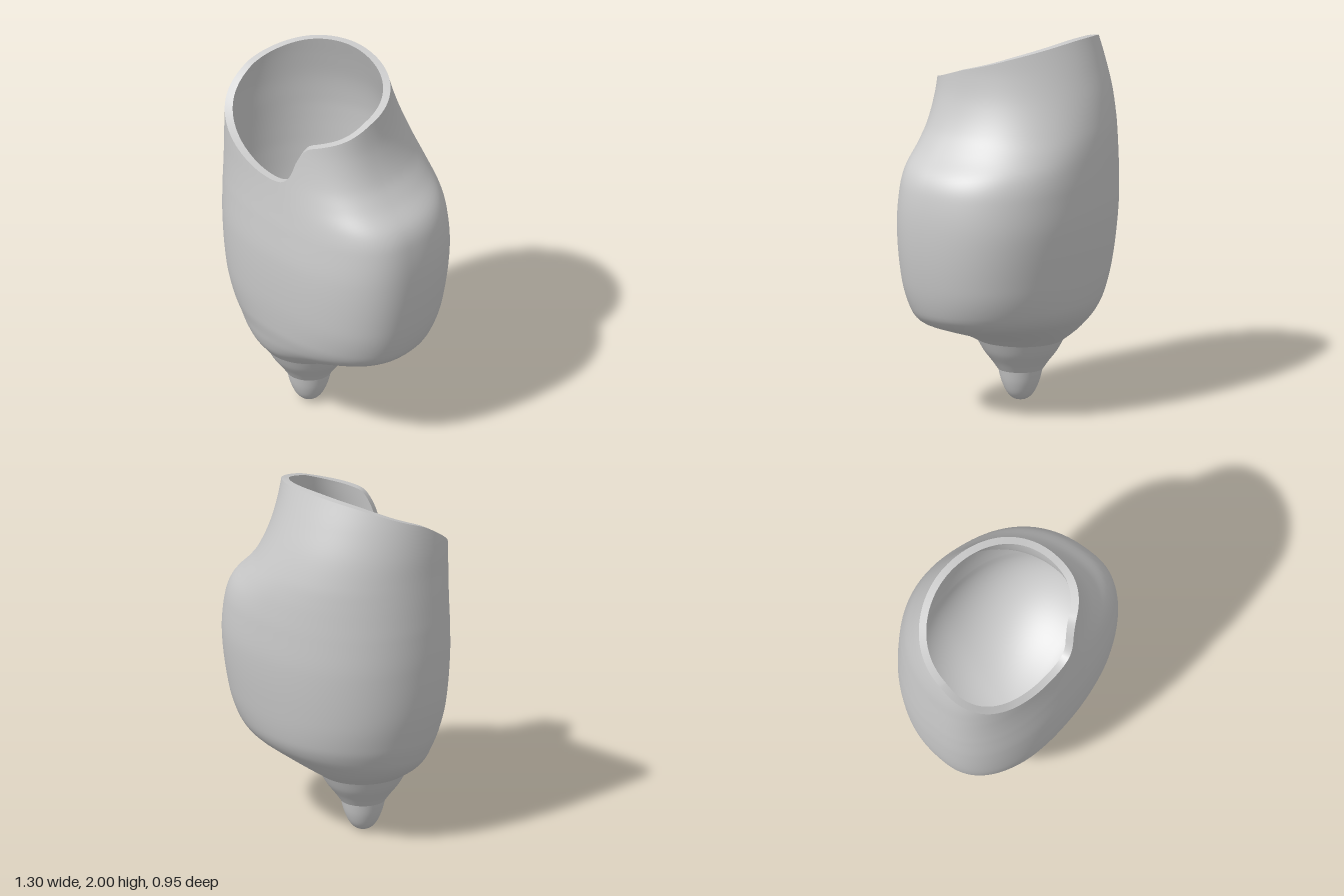
import * as THREE from 'three';

const SEG = 144;
const CZ = 0.09;

// Body sections: y, left side x, right side x, back z, front z, centre x
const SECTIONS = [
  [0.34, -0.38, 0.08, -0.15, 0.32, -0.15],
  [0.40, -0.465, 0.20, -0.23, 0.37, -0.12],
  [0.46, -0.52, 0.37, -0.30, 0.40, -0.07],
  [0.52, -0.55, 0.515, -0.36, 0.42, -0.02],
  [0.60, -0.58, 0.575, -0.40, 0.44, 0],
  [0.80, -0.625, 0.625, -0.44, 0.465, 0.01],
  [1.05, -0.648, 0.647, -0.47, 0.475, 0.01],
  [1.25, -0.652, 0.632, -0.473, 0.462, -0.01],
  [1.35, -0.65, 0.592, -0.469, 0.452, -0.03],
  [1.45, -0.647, 0.492, -0.46, 0.443, -0.06],
  [1.55, -0.643, 0.415, -0.442, 0.436, -0.10],
  [1.70, -0.637, 0.355, -0.40, 0.427, -0.14],
  [1.85, -0.62, 0.33, -0.345, 0.415, -0.15],
  [2.00, -0.59, 0.325, -0.285, 0.40, -0.15],
];

// Height of the opening's edge by angle in degrees (0 = +x, 90 = front)
const RIM = [
  [0, 1.872], [27, 1.815], [48, 1.775], [56, 1.75], [63, 1.68], [70, 1.585],
  [77, 1.53], [88, 1.51], [102, 1.525], [119, 1.58], [132, 1.64], [153, 1.74],
  [180, 1.845], [200, 1.902], [225, 1.96], [245, 1.988], [268, 2.0], [290, 1.988],
  [315, 1.958], [335, 1.922], [360, 1.872],
];

// Smooth interpolation through the rows of a table whose first column ascends
function sample(table, t, col, closed = false) {
  const last = table.length - 1;
  let i = 0;
  while (i < last - 1 && t > table[i + 1][0]) i++;
  const slope = (k) => {
    let a = table[Math.max(k - 1, 0)], b = table[Math.min(k + 1, last)];
    if (closed && (k === 0 || k === last)) {
      a = table[last - 1];
      b = table[1];
      return (b[col] - a[col]) / (b[0] + 360 - a[0]);
    }
    return (b[col] - a[col]) / (b[0] - a[0]);
  };
  const p = table[i], q = table[i + 1], h = q[0] - p[0];
  const s = THREE.MathUtils.clamp((t - p[0]) / h, 0, 1), s2 = s * s, s3 = s2 * s;
  return p[col] * (2 * s3 - 3 * s2 + 1) + q[col] * (3 * s2 - 2 * s3)
    + h * (slope(i) * (s3 - 2 * s2 + s) + slope(i + 1) * (s3 - s2));
}

const rimHeight = (j) => sample(RIM, (j / SEG) * 360, 1, true);

// Point on the rounded, uneven section at height y, moved inward by inset
function sectionPoint(y, j, inset = 0) {
  const a = (j / SEG) * Math.PI * 2, c = Math.cos(a), s = Math.sin(a);
  const [xl, xr, zb, zf, cx] = [1, 2, 3, 4, 5].map((k) => sample(SECTIONS, y, k));
  const rx = (c > 0 ? xr - cx : cx - xl) - inset;
  const rz = (s > 0 ? zf - CZ : CZ - zb) - inset;
  // Squareness of each quarter: round at the base, boxier in the middle
  const body = s > 0 ? (c > 0 ? 2.4 : 2.45) : (c > 0 ? 2.4 : 2.2);
  const top = s > 0 ? 2.45 : 1.95;
  const low = THREE.MathUtils.smoothstep(y, 0.34, 0.75);
  const high = THREE.MathUtils.smoothstep(y, 1.0, 1.9);
  const n = THREE.MathUtils.lerp(THREE.MathUtils.lerp(2, body, low), top, high);
  const r = 1 / Math.pow(Math.abs(c) ** n + Math.abs(s) ** n, 1 / n);
  return [cx + rx * c * r, y, CZ + rz * s * r];
}

// Skin over closed rings; point(i, j) gives ring i, step j
function loft(name, rings, point, material) {
  const pos = [], idx = [];
  for (let i = 0; i < rings; i++) {
    for (let j = 0; j < SEG; j++) {
      pos.push(...point(i, j));
      if (i === rings - 1) continue;
      const a = i * SEG + j, b = i * SEG + ((j + 1) % SEG);
      idx.push(a, a + SEG, b, b, a + SEG, b + SEG);
    }
  }
  const geo = new THREE.BufferGeometry();
  geo.setAttribute('position', new THREE.Float32BufferAttribute(pos, 3));
  geo.setIndex(idx);
  geo.computeVertexNormals();
  const mesh = new THREE.Mesh(geo, material);
  mesh.name = name;
  return mesh;
}

// Round part spun about the nozzle's axis, profile given as radius and height
function turned(name, points, material) {
  const curve = new THREE.SplineCurve(points.map(([r, y]) => new THREE.Vector2(r, y)));
  const profile = curve.getPoints(20);
  const mesh = new THREE.Mesh(new THREE.LatheGeometry(profile, 64), material);
  mesh.name = name;
  mesh.position.set(-0.15, 0, 0.085);
  return mesh;
}

export function createModel() {
  const group = new THREE.Group();
  group.name = 'earShell';
  const mat = new THREE.MeshStandardMaterial({ color: 0xcccccc, side: THREE.DoubleSide });
  const wall = 0.04, rows = 80, base = 0.34;

  // Outer shell, cut off along the sloping rim with its front notch
  group.add(loft('outerShell', rows + 1, (i, j) =>
    sectionPoint(THREE.MathUtils.lerp(base, rimHeight(j), i / rows), j), mat));

  // Flat edge of the opening
  group.add(loft('rim', 2, (i, j) => sectionPoint(rimHeight(j), j, i * wall), mat));

  // Hollow inside: walls follow the shell, then round off into a bowl
  const bowlTop = 0.95, floor = 0.43, wallRows = 48, bowlRows = 24;
  group.add(loft('innerShell', wallRows + bowlRows + 1, (i, j) => {
    if (i <= wallRows) {
      return sectionPoint(THREE.MathUtils.lerp(rimHeight(j), bowlTop, i / wallRows), j, wall);
    }
    const t = ((i - wallRows) / bowlRows) * Math.PI / 2, s = Math.cos(t);
    const [x, , z] = sectionPoint(bowlTop, j, wall);
    return [
      THREE.MathUtils.lerp(-0.1, x, s),
      bowlTop - (bowlTop - floor) * Math.sin(t),
      THREE.MathUtils.lerp(0.13, z, s),
    ];
  }, mat));

  // Stepped nozzle beneath the shell
  group.add(turned('nozzleCone',
    [[0.12, 0.172], [0.15, 0.215], [0.195, 0.275], [0.232, 0.342]], mat));
  group.add(turned('nozzleTip',
    [[0, 0], [0.04, 0.011], [0.073, 0.045], [0.1, 0.105], [0.118, 0.175]], mat));

  return group;
}
